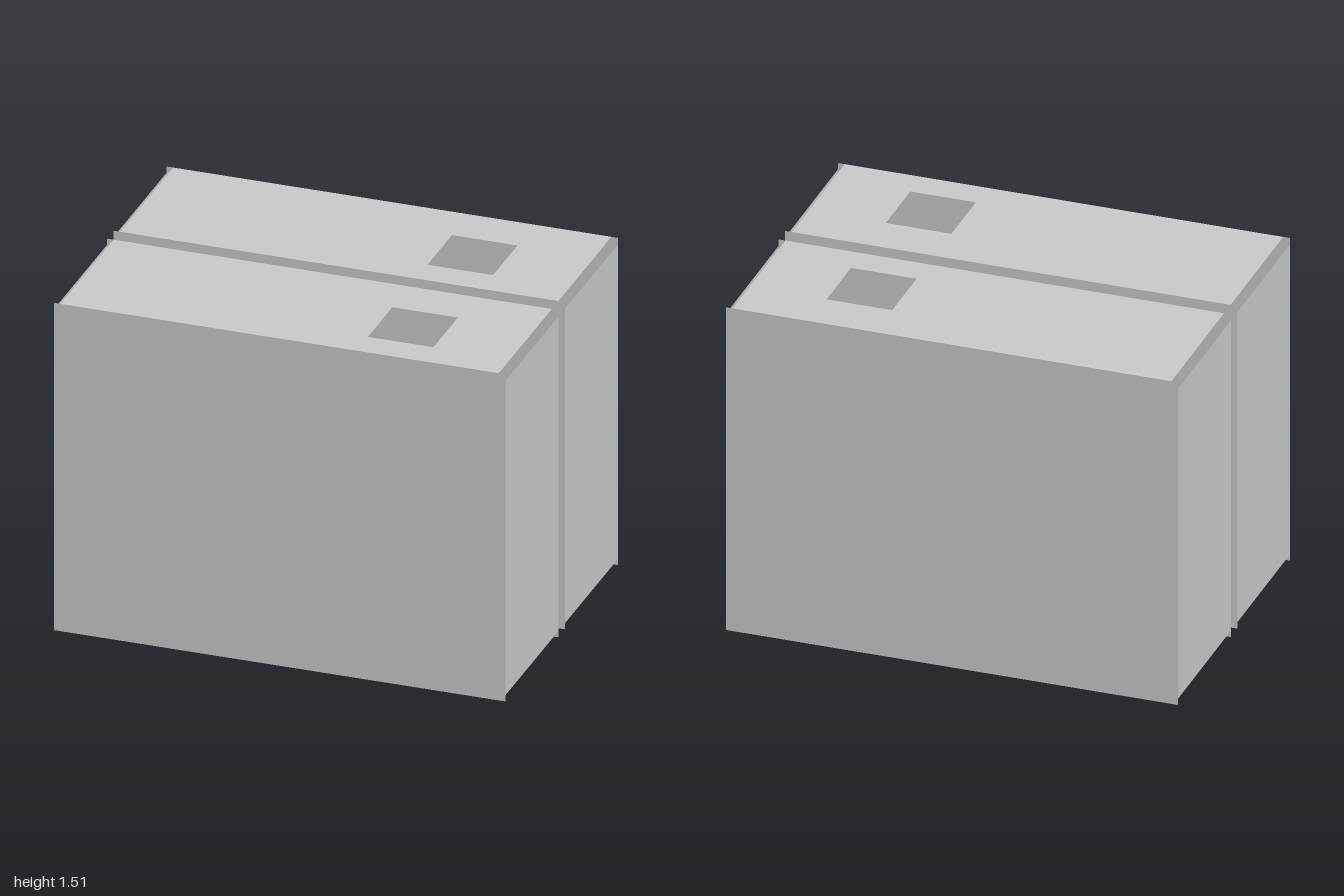
import * as THREE from 'three';

const W = 1, H = 1.515, LIP = 0.03;      // half width, height, edge inset
const Z_IN = 0.04, Z_OUT = 0.69;         // depth range of one tank

const material = new THREE.MeshStandardMaterial({
  color: 0xcccccc, flatShading: true, side: THREE.DoubleSide,
});

// Trace a rectangle on a Shape or Path.
function rect(path, u0, v0, u1, v1) {
  path.moveTo(u0, v0);
  path.lineTo(u1, v0);
  path.lineTo(u1, v1);
  path.lineTo(u0, v1);
  path.closePath();
  return path;
}

// Thin sheet with an optional rectangular opening.
// axis: 'x' (sheet spans z,y), 'y' (spans x,z) or 'z' (spans x,y).
function sheet(name, axis, at, [u0, v0, u1, v1], hole) {
  const shape = rect(new THREE.Shape(), u0, v0, u1, v1);
  if (hole) shape.holes.push(rect(new THREE.Path(), ...hole));
  const geometry = new THREE.ShapeGeometry(shape);
  if (axis === 'x') geometry.rotateY(-Math.PI / 2).translate(at, 0, 0);
  if (axis === 'y') geometry.rotateX(Math.PI / 2).translate(0, at, 0);
  if (axis === 'z') geometry.translate(0, 0, at);
  const mesh = new THREE.Mesh(geometry, material);
  mesh.name = name;
  return mesh;
}

// Passage between the two tanks.
const PASS = { x0: 0.29, x1: 0.58, y0: 0.13, y1: 0.81 };

// Hollow tank of six separate sheets, with open slots along the long corners.
function createTank(name, z0, z1, topHole, bottomHole) {
  const tank = new THREE.Group();
  tank.name = name;
  for (const z of [z0, z1]) {
    const inner = Math.abs(z) < 0.1;
    const hole = inner ? [PASS.x0, PASS.y0, PASS.x1, PASS.y1] : null;
    tank.add(sheet(inner ? 'innerWall' : 'outerWall', 'z', z, [-W, 0, W, H], hole));
  }
  for (const side of [-1, 1]) {
    tank.add(sheet(side > 0 ? 'leftWall' : 'rightWall', 'x', side * W,
      [z0, LIP, z1, H - LIP]));
  }
  const plan = [-W + LIP, z0, W - LIP, z1];
  tank.add(sheet('topPanel', 'y', H, plan, topHole));
  tank.add(sheet('bottomPanel', 'y', 0, plan, bottomHole));
  return tank;
}

export function createModel() {
  const model = new THREE.Group();
  model.name = 'twinTank';

  model.add(createTank('frontTank', Z_IN, Z_OUT, [0.34, 0.25, 0.63, 0.55]));
  model.add(createTank('backTank', -Z_OUT, -Z_IN,
    [0.34, -0.48, 0.63, -0.18], [-0.6, -0.68, -0.39, -0.18]));

  // Four-sided duct joining the tanks
  const duct = new THREE.Group();
  duct.name = 'connectingDuct';
  for (const x of [PASS.x0, PASS.x1]) {
    duct.add(sheet('ductSide', 'x', x, [-Z_IN, PASS.y0, Z_IN, PASS.y1]));
  }
  for (const y of [PASS.y0, PASS.y1]) {
    duct.add(sheet('ductPlate', 'y', y, [PASS.x0, -Z_IN, PASS.x1, Z_IN]));
  }
  model.add(duct);
  return model;
}
